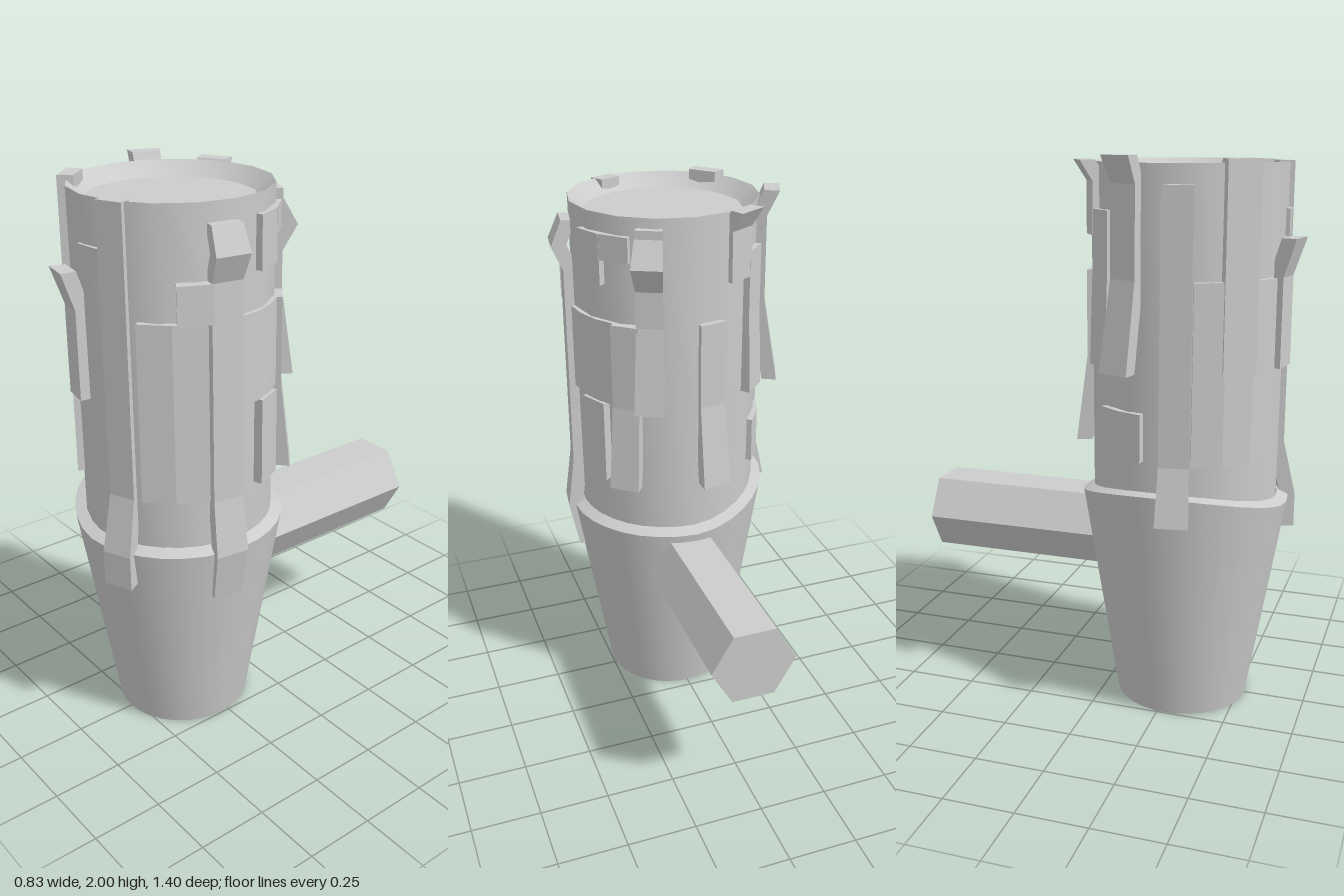
import * as THREE from 'three';
import { toCreasedNormals } from 'three/addons/utils/BufferGeometryUtils.js';

const AXIS_Z = 0.28;
const LEVELS = [1.91, 1.82, 1.73, 1.6, 1.29, 0.98, 0.78]; // heights where strips may bend
const grey = new THREE.MeshStandardMaterial({ color: 0xcccccc, side: THREE.DoubleSide });
const flat = new THREE.MeshStandardMaterial({ color: 0xcccccc, flatShading: true });

const lathe = (pts, sides) =>
  new THREE.LatheGeometry(pts.map(p => new THREE.Vector2(...p)), sides);

// Box wrapped round the core: angles in degrees from the front towards +x.
// It lies at radius r, steps out over the cup's rim, and may kick outwards
// at its top or bottom end or at the 1.82 bend.
function plate(a0, a1, top, bottom, { r = 0.36, kickTop = 0, kickBottom = 0, bend = 0 } = {}) {
  const heights = [top, ...LEVELS.filter(y => y < top && y > bottom), bottom];
  const last = heights.length - 1;
  const radii = heights.map((y, i) =>
    (y < 0.8 ? 0.402 : r) + (i === 0 ? kickTop : 0) + (i === last ? kickBottom : 0)
    + (y === 1.82 ? bend : 0));
  const g = new THREE.BoxGeometry(1, 1, 1, Math.max(1, Math.round((a1 - a0) / 16)), last, 1);
  const p = g.attributes.position;
  for (let i = 0; i < p.count; i++) {
    const a = THREE.MathUtils.degToRad(a0 + (a1 - a0) * (p.getX(i) + 0.5));
    const row = Math.round((0.5 - p.getY(i)) * last);
    const d = radii[row] - (p.getZ(i) > 0 ? 0 : 0.055);
    p.setXYZ(i, d * Math.sin(a), heights[row], d * Math.cos(a));
  }
  return g;
}

export function createModel() {
  const model = new THREE.Group();
  const add = (name, geometry, material = flat, z = AXIS_Z) => {
    const mesh = new THREE.Mesh(geometry, material);
    mesh.name = name;
    mesh.position.z = z;
    model.add(mesh);
  };

  // Tapered cup, its rim rising towards -x
  const cup = lathe([[0, 0], [0.245, 0], [0.375, 0.78], [0.335, 0.8]], 32);
  const p = cup.attributes.position;
  for (let i = 0; i < p.count; i++) {
    if (p.getY(i) > 0.7) {
      const lift = Math.max(0, -p.getX(i) / 0.375);
      p.setY(i, p.getY(i) + 0.09 * lift ** 1.5);
    }
  }
  add('cup', toCreasedNormals(cup, 0.5), grey);

  // Core with a shallow sunken top
  const core = lathe([[0.335, 0.7], [0.342, 1.975], [0.285, 1.925], [0, 1.925]], 16);
  add('core', toCreasedNormals(core, 0.5), grey);

  // Six-sided handle sticking out at the back
  const handle = new THREE.CylinderGeometry(0.155, 0.155, 0.76, 6);
  handle.rotateY(Math.PI / 2).rotateX(Math.PI / 2).translate(0.025, 0.615, 0);
  add('handle', handle, flat, -0.325);

  // Strips and patches on the front
  add('frontLongStrip', plate(14.5, 30, 1.975, 0.655, { r: 0.355 }));
  add('frontArm', plate(-3, 15, 1.82, 1.73, { r: 0.352 }));
  add('frontHook', plate(-18, -3, 1.73, 1.29, { r: 0.371, kickTop: 0.044 }));
  add('frontSideStrip', plate(-57, -37, 1.99, 1.29, { r: 0.367 }));
  add('frontWidePatch', plate(-73, -21, 1.6, 0.98));

  // Left side (+x)
  add('leftBentStrip', plate(73, 90, 1.91, 0.6, { r: 0.375, bend: 0.04, kickBottom: -0.036 }));
  add('leftArm', plate(56, 74, 1.73, 1.6, { r: 0.378 }));
  add('leftWidePatch', plate(35, 72, 1.6, 0.98, { r: 0.358 }));

  // Back, from +x round to -x
  add('backUpperPatch', plate(106, 124, 1.91, 1.73));
  add('backUpperArm', plate(123, 142, 1.91, 1.82));
  add('backMiddlePatch', plate(90, 132, 1.6, 1.29, { r: 0.352 }));
  add('backShortStrip', plate(106, 124, 1.29, 0.98, { r: 0.365 }));
  add('backFlaredStrip', plate(131, 147, 1.6, 0.98, { r: 0.37, kickBottom: 0.035 }));
  add('backBentStrip', plate(146, 161, 1.94, 1.29, { r: 0.367, bend: 0.05, kickBottom: 0.043 }));
  add('backDrip', plate(182, 198, 1.6, 0.98, { kickBottom: 0.04 }));
  add('backTopStrip', plate(202, 219, 1.98, 1.73, { kickTop: 0.045 }));
  add('backMiddleStrip', plate(218, 235, 1.82, 1.29, { kickBottom: 0.01 }));
  add('backLowerPatch', plate(228, 258, 1.15, 0.98, { r: 0.355 }));

  // Right side (-x)
  add('rightTopStrip', plate(240, 256, 2, 1.29, { r: 0.372, kickTop: 0.043, kickBottom: 0.053 }));
  add('rightLongStrip', plate(270, 286, 1.91, 0.78, { r: 0.376, kickBottom: 0.018 }));
  return model;
}
